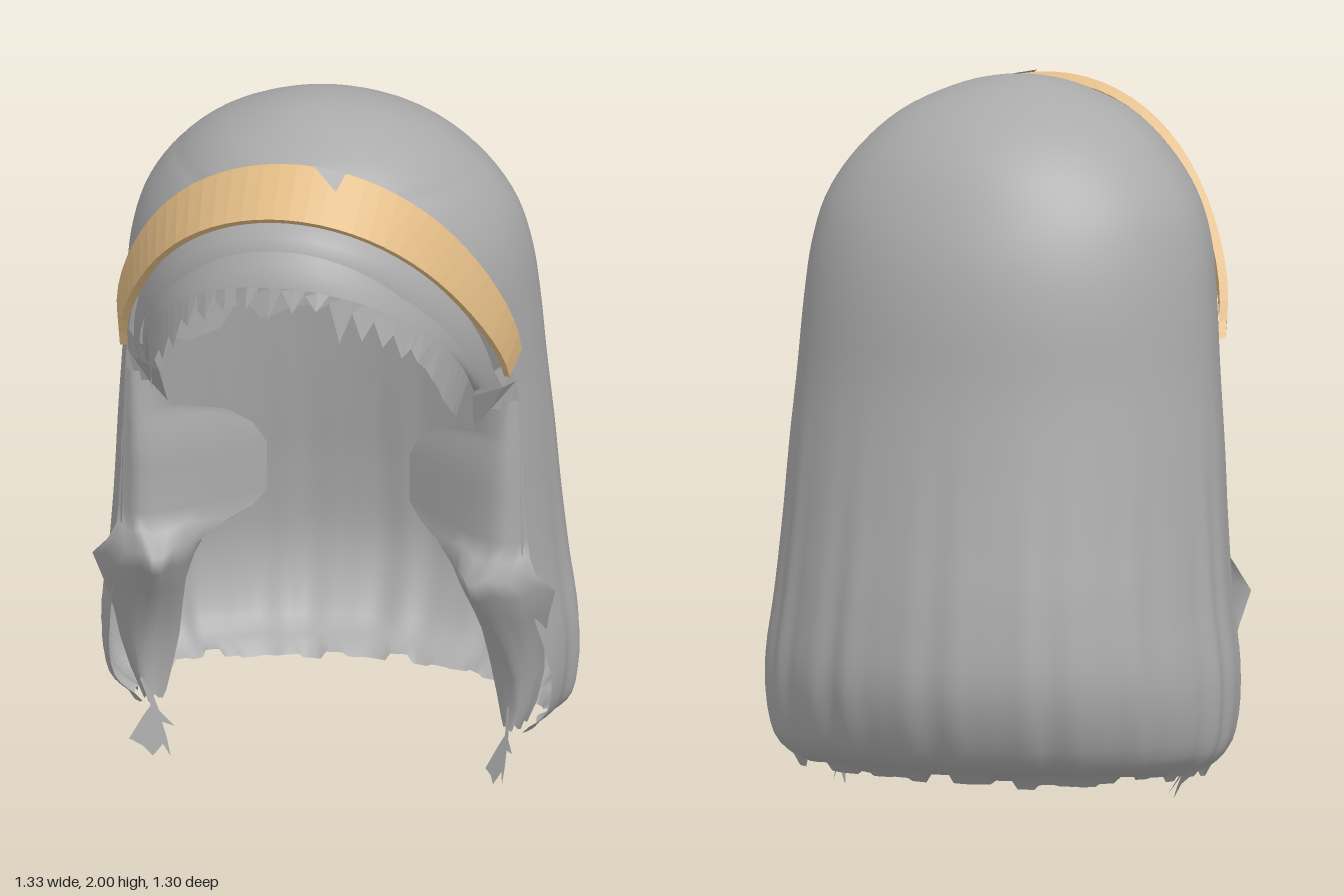
import * as THREE from 'three';

// Smooth or flat surface through rows of [x, y, z] points
function loft(rows, material, name, flat = false) {
  const w = rows[0].length, index = [];
  for (let i = 0; i < rows.length - 1; i++)
    for (let j = 0; j < w - 1; j++) {
      const a = i * w + j, b = a + 1, c = a + w, d = c + 1;
      index.push(a, b, d, a, d, c);
    }
  let g = new THREE.BufferGeometry();
  g.setAttribute('position', new THREE.Float32BufferAttribute(rows.flat(2), 3));
  g.setIndex(index);
  if (flat) g = g.toNonIndexed();
  g.computeVertexNormals();
  const mesh = new THREE.Mesh(g, material);
  mesh.name = name;
  return mesh;
}

const spline = pts => new THREE.CatmullRomCurve3(pts.map(p => new THREE.Vector3(...p)), false, 'catmullrom', 0.5);
const jag = i => { const s = Math.sin(i * 12.9898 + 4.1) * 43758.5453; return s - Math.floor(s); };

// y, half width, back z, centre z, front z
const PROFILE = [
  [0.12, 0.57, -0.47, -0.17, 0.22], [0.2, 0.64, -0.58, -0.17, 0.3], [0.38, 0.66, -0.65, -0.17, 0.34],
  [0.6, 0.635, -0.635, -0.16, 0.38], [0.8, 0.618, -0.6, -0.14, 0.4], [1.0, 0.605, -0.565, -0.12, 0.42],
  [1.2, 0.588, -0.535, -0.1, 0.44], [1.4, 0.573, -0.515, -0.08, 0.46], [1.55, 0.555, -0.485, -0.06, 0.47],
  [1.68, 0.515, -0.435, -0.05, 0.46], [1.8, 0.435, -0.365, -0.03, 0.42], [1.9, 0.325, -0.26, 0.0, 0.335],
  [1.965, 0.19, -0.13, 0.03, 0.21], [1.992, 0.085, -0.03, 0.05, 0.12], [2.0, 0.001, 0.049, 0.05, 0.051],
];

// z of the front opening at a given height
const CUT = [[0.1, -0.04], [0.3, -0.01], [0.5, 0.05], [0.65, 0.09], [1.2, 0.09], [1.35, 0.14], [1.8, 0.38], [2.1, 0.6]];
function cutAt(y) {
  let i = 0;
  while (i < CUT.length - 2 && y > CUT[i + 1][0]) i++;
  const [y0, z0] = CUT[i], [y1, z1] = CUT[i + 1];
  return THREE.MathUtils.lerp(z0, z1, THREE.MathUtils.clamp((y - y0) / (y1 - y0), 0, 1));
}

// Long outer hair: dome above, fluted fall below, open at the front
function shell(material) {
  const outer = spline(PROFILE.map(([y, w, b]) => [w, y, b]));
  const inner = spline(PROFILE.map(([y, , , c, f]) => [c, y, f]));
  const rows = [], N = 60, M = 144;
  for (let i = 0; i <= N; i++) {
    const p = outer.getPoint(i / N), q = inner.getPoint(i / N), c = q.x, y = p.y;
    const open = Math.acos(THREE.MathUtils.clamp((cutAt(y) - c) / Math.max(q.z - c, 0.001), -1, 1));
    const flute = 0.011 * Math.pow(THREE.MathUtils.clamp((1.3 - y) / 1.1, 0, 1), 1.5);
    const row = [];
    for (let j = 0; j <= M; j++) {
      const a = open + (2 * Math.PI - 2 * open) * j / M; // 0 faces the front
      const k = 1 + flute * (Math.cos(a * 24) + 0.5 * Math.sin(a * 37));
      const cos = Math.cos(a);
      const dz = cos > 0 ? (q.z - c) * cos : (p.z - c) * Math.pow(-cos, 1.1);
      const hem = i === 0 ? 0.04 * (jag(Math.floor(j / 4)) - 0.5) : 0;
      row.push([p.x * Math.sin(a) * k, y + hem, c + dz * k]);
    }
    rows.push(row);
  }
  return loft(rows, material, 'longHair');
}

// Inner scalp lining with a ragged lower edge
function lining(material) {
  const rows = [];
  for (let i = 0; i <= 14; i++) {
    const e = i / 14 * Math.PI / 2, row = [];
    for (let j = 0; j <= 48; j++) {
      const a = Math.PI * (-0.08 + 1.16 * j / 48);
      const ragged = i ? 0 : 0.09 * (jag(Math.floor(j / 2)) - 0.5) - 0.08 * Math.cos(a) ** 2;
      const r = Math.pow(Math.max(0, Math.cos(e)), 0.6);
      row.push([0.54 * r * Math.cos(a), 1.18 + 0.77 * Math.sin(e) + ragged, -0.02 - 0.43 * r * Math.sin(a)]);
    }
    rows.push(row);
  }
  return loft(rows, material, 'scalpLining');
}

// Arch over the forehead: half width, end y, rise, end z, reach, end flare, roundness
function arch([w, y, h, z, d, flare = 0, power = 1], a) {
  const s = Math.sin(a), c = Math.pow(Math.max(0, Math.cos(a)), power);
  return [w * s + flare * Math.pow(s, 15), y + h * c, z + d * c];
}

function archSurface(curves, segments, material, name, flat) {
  return loft(curves.map(c => Array.from({ length: segments + 1 },
    (_, j) => arch(c, Math.PI * (j / segments - 0.5)))), material, name, flat);
}

// Fringe in two layers under the band, with torn points
function fringe(material) {
  const g = new THREE.Group();
  g.name = 'fringe';
  const edge = [0.45, 1.23, 0.44, 0.2, 0.42, 0, 0.85];
  g.add(archSurface([[0.48, 1.235, 0.5, 0.21, 0.37], [0.49, 1.24, 0.56, 0.2, 0.37], [0.505, 1.255, 0.575, 0.17, 0.34]],
    48, material, 'fringeTopLayer'));
  g.add(archSurface([edge, [0.465, 1.235, 0.49, 0.205, 0.4], [0.475, 1.24, 0.54, 0.19, 0.37]],
    48, material, 'fringeLowerLayer'));
  const top = [], tips = [], n = 40;
  for (let j = 0; j <= n; j++) {
    const a = Math.PI * 0.47 * (2 * j / n - 1), p = arch(edge, a);
    const side = Math.abs(Math.sin(a)) ** 3;
    const tooth = j % 2 ? 0.03 + 0.1 * jag(j) : 0.005 + 0.04 * jag(j);
    const len = THREE.MathUtils.lerp(tooth, 0.08 + 0.06 * jag(Math.floor(j / 3)), side);
    top.push(p);
    tips.push([p[0] * (1 - 0.05 * side), Math.max(p[1] - len, 1.2), p[2] + 0.06 * side + 0.02 * (j % 2) * (1 - side)]);
  }
  g.add(loft([tips, top], material, 'fringePoints', true));
  return g;
}

// Closed, thin headband with flared ends and a small notch
const BAND_TOP = [0.548, 1.33, 0.62, 0.115, 0.29, 0.02];
const BAND_LOW = [0.517, 1.27, 0.57, 0.18, 0.36, 0.03];

function headband(band, hair) {
  const g = new THREE.Group();
  g.name = 'headband';
  g.add(archSurface([BAND_TOP, [0.528, 1.325, 0.605, 0.1, 0.283, 0.02], [0.498, 1.265, 0.555, 0.165, 0.355, 0.03],
    BAND_LOW, BAND_TOP], 36, band, 'band', true));
  const corners = [[0.08, 0], [0.22, 0.38], [0.25, 0]].map(([a, t]) => {
    const p = arch(BAND_TOP, a), q = arch(BAND_LOW, a);
    return p.map((v, i) => THREE.MathUtils.lerp(v, q[i], t) + [0, 0.005, 0.004][i]);
  });
  g.add(loft([[corners[1], corners[1]], [corners[0], corners[2]]], hair, 'notch', true));
  return g;
}

// Front edge of each side: outer, crest and inner points [x, z] by height
const LOCK = [
  [1.16, 0.555, 0.08, 0.52, 0.1, 0.46, 0.08], [1.05, 0.56, 0.08, 0.51, 0.105, 0.42, 0.05],
  [1.0, 0.56, 0.08, 0.49, 0.105, 0.3, -0.06], [0.95, 0.565, 0.08, 0.48, 0.105, 0.235, -0.1],
  [0.88, 0.565, 0.08, 0.47, 0.105, 0.2, -0.13], [0.74, 0.575, 0.07, 0.47, 0.1, 0.2, -0.13],
  [0.69, 0.58, 0.07, 0.47, 0.12, 0.235, -0.1], [0.65, 0.6, 0.09, 0.45, 0.2, 0.34, 0.02],
  [0.59, 0.65, 0.06, 0.46, 0.17, 0.37, 0.03], [0.5, 0.625, 0.03, 0.48, 0.1, 0.4, 0.0],
  [0.4, 0.605, -0.01, 0.51, 0.04, 0.42, -0.05], [0.3, 0.595, -0.05, 0.53, 0.0, 0.435, -0.08],
  [0.2, 0.57, -0.07, 0.53, -0.02, 0.455, -0.08], [0.13, 0.54, -0.08, 0.51, -0.02, 0.47, -0.07],
];

function frontLock(s, material) {
  const rows = LOCK.map(([y, xo, zo, xm, zm, xi, zi]) => {
    const c = spline([[s * xo, y, zo], [s * xm, y, zm], [s * xi, y, zi]]);
    return c.getPoints(10).map((p, j) => [p.x, p.y + (y < 0.7 ? 0.012 * Math.sin(j * 2) : 0), p.z]);
  });
  return loft(rows, material, 'frontLock');
}

// Thin loose strands hanging below each lock
function wisp(s, material) {
  const pts = [[0.28, 0.14], [0.1, 0.135], [0.02, 0.13], [0, 0.2], [-0.05, 0.19], [-0.02, 0.1], [-0.07, 0.035],
    [0, 0.075], [0.02, 0.04], [0.06, 0.0], [0.07, 0.04], [0.13, 0.045], [0.18, 0.05], [0.21, 0.09]];
  const g = new THREE.ShapeGeometry(new THREE.Shape(pts.map(p => new THREE.Vector2(...p))));
  const p = g.attributes.position;
  for (let i = 0; i < p.count; i++) {
    const z = p.getX(i), y = p.getY(i);
    p.setXYZ(i, s * (0.5 - (s < 0 ? 0.5 * (0.14 - y) : 0)), y, z);
  }
  g.computeVertexNormals();
  const mesh = new THREE.Mesh(g, material);
  mesh.name = 'looseStrand';
  return mesh;
}

// Small tuft where the band meets the side hair
function temple(s, material) {
  const rows = [
    [[0.545, 1.29, 0.1], [0.5, 1.28, 0.17], [0.46, 1.27, 0.2]],
    [[0.545, 1.22, 0.09], [0.52, 1.22, 0.14], [0.44, 1.2, 0.17]],
    [[0.52, 1.13, 0.09], [0.48, 1.14, 0.11], [0.43, 1.08, 0.1]],
  ].map(r => r.map(([x, y, z]) => [s * x, y, z]));
  return loft(rows, material, 'templeTuft', true);
}

export function createModel() {
  const hair = new THREE.MeshStandardMaterial({ color: 0xaaaaaa, side: THREE.DoubleSide });
  hair.name = 'grey hair';
  const tan = new THREE.MeshStandardMaterial({ color: 0xe0ba84, side: THREE.DoubleSide });
  tan.name = 'tan band';
  const model = new THREE.Group();
  model.name = 'hairWithHeadband';
  model.add(shell(hair), lining(hair), fringe(hair), headband(tan, hair));
  for (const s of [-1, 1]) model.add(frontLock(s, hair), wisp(s, hair), temple(s, hair));
  return model;
}
